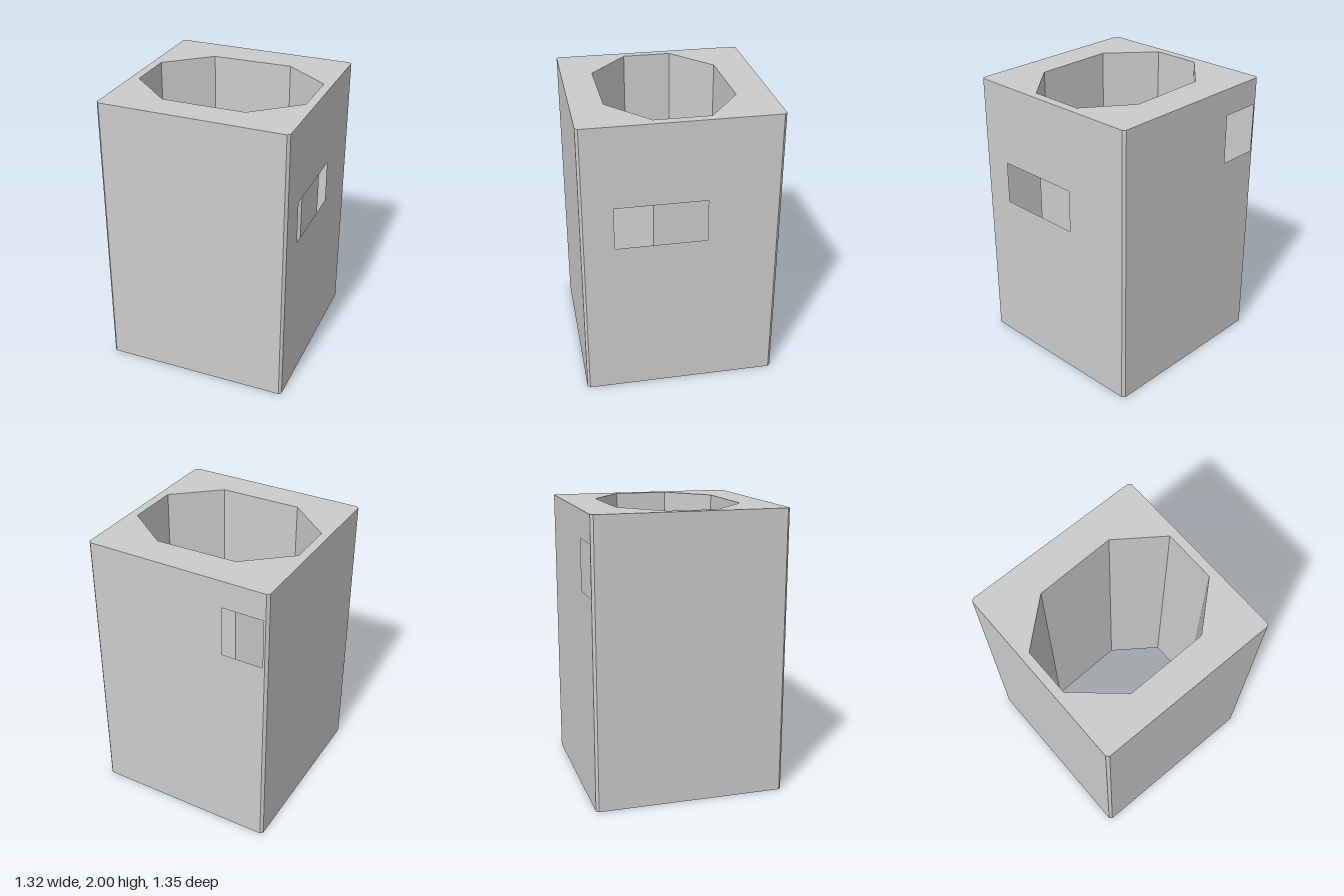
import * as THREE from 'three';

const H = 2, W = 0.662, D = 0.673, C = 0.018;

// Footprint corners [x, z], anticlockwise seen from above, starting at the front
const outer = [
  [-W + C, D], [W - C, D], [W, D - C], [W, -D + C],
  [W - C, -D], [-W + C, -D], [-W, -D + C], [-W, D - C],
];
// Eight-sided shaft, walked the other way so its walls face inward
const shaft = [
  [0.29, 0.45], [-0.29, 0.456], [-0.6, 0.185], [-0.6, -0.155],
  [-0.295, -0.421], [0.28, -0.435], [0.6, -0.2], [0.6, 0.18],
];
// Window openings by outer edge index: range along z or x, then range in y
const windows = {
  2: { from: 0.45, to: -0.175, y0: 1.13, y1: 1.43, start: D - C },
  4: { from: -0.335, to: -0.63, y0: 1.46, y1: 1.81, start: W - C },
};

const material = new THREE.MeshStandardMaterial({ color: 0xcccccc, side: THREE.DoubleSide });

function rectangle(u0, u1, y0, y1) {
  return [[u0, y0], [u1, y0], [u1, y1], [u0, y1]].map(([u, y]) => new THREE.Vector2(u, y));
}

// Upright thin panel over the edge p-q, with an optional rectangular opening
function panel(name, p, q, win) {
  const dx = q[0] - p[0], dz = q[1] - p[1], length = Math.hypot(dx, dz);
  const shape = new THREE.Shape(rectangle(0, length, 0, H));
  if (win) {
    shape.holes.push(new THREE.Path(
      rectangle(win.start - win.from, win.start - win.to, win.y0, win.y1)));
  }
  const mesh = new THREE.Mesh(new THREE.ShapeGeometry(shape), material);
  mesh.name = name;
  mesh.position.set(p[0], 0, p[1]);
  mesh.rotation.y = Math.atan2(-dz, dx);
  return mesh;
}

// Ring of panels around a closed footprint
function walls(name, points, openings = {}) {
  const group = new THREE.Group();
  group.name = name;
  points.forEach((p, i) => {
    const q = points[(i + 1) % points.length];
    group.add(panel(openings[i] ? 'windowWall' : 'wall', p, q, openings[i]));
  });
  return group;
}

// Flat end plate pierced by the shaft; facing is 1 for up, -1 for down
function cap(name, y, facing) {
  const flat = (points) => points.map(([x, z]) => new THREE.Vector2(x, -facing * z));
  const shape = new THREE.Shape(flat(outer));
  shape.holes.push(new THREE.Path(flat(shaft)));
  const geometry = new THREE.ShapeGeometry(shape).rotateX(-facing * Math.PI / 2);
  const mesh = new THREE.Mesh(geometry, material);
  mesh.name = name;
  mesh.position.y = y;
  return mesh;
}

export function createModel() {
  const model = new THREE.Group();
  model.name = 'hollowBlock';
  model.add(
    walls('outerShell', outer, windows),
    walls('shaftLining', shaft),
    cap('topPlate', H, 1),
    cap('bottomPlate', 0, -1),
  );
  return model;
}
